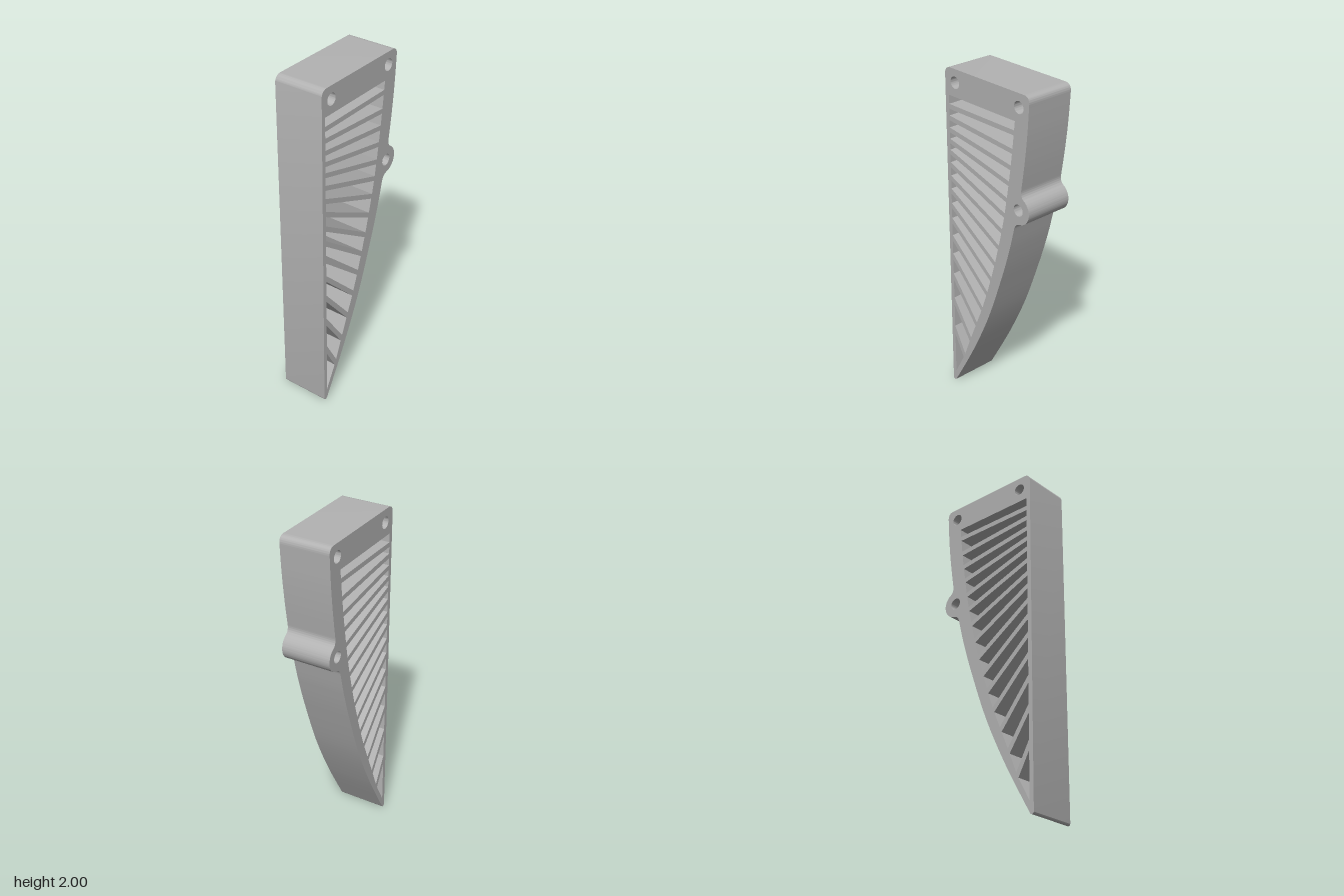
import * as THREE from 'three';
import { toCreasedNormals } from 'three/addons/utils/BufferGeometryUtils.js';

const DEPTH = 0.29;
const WALL_X = -0.297;   // inner face of the straight wall
const RIB_HALF = 0.014;  // half the rib thickness

const vec = ([x, y]) => new THREE.Vector2(x, y);

// Inner edge of the curved wall; each point but the first and last is a rib end
const inner = [
  [-0.297, 0.07], [-0.217, 0.22], [-0.16, 0.363], [-0.105, 0.495], [-0.053, 0.62],
  [-0.01, 0.74], [0.025, 0.85], [0.058, 0.96], [0.088, 1.075], [0.115, 1.185],
  [0.137, 1.288], [0.154, 1.385], [0.17, 1.485], [0.184, 1.58], [0.196, 1.675],
  [0.208, 1.78], [0.215, 1.845],
];
// Heights where the ribs meet the straight wall, bottom to top
const ribLeft = [0.365, 0.565, 0.73, 0.865, 0.985, 1.095, 1.19, 1.28, 1.36, 1.44,
  1.515, 1.58, 1.645, 1.714, 1.78];

// x of the curved wall's inner edge at height y
function innerX(y) {
  let i = 0;
  while (i < inner.length - 2 && inner[i + 1][1] < y) i++;
  const [x0, y0] = inner[i], [x1, y1] = inner[i + 1];
  return x0 + (x1 - x0) * (y - y0) / (y1 - y0);
}

// Left and right ends of one edge of a rib (side: +1 upper, -1 lower)
function ribEdge(i, side) {
  const [rx, ry] = inner[i + 1];
  const slope = (ry - ribLeft[i]) / (rx - WALL_X);
  const y0 = ribLeft[i] + side * RIB_HALF * Math.hypot(1, slope);
  let lo = WALL_X, hi = 0.3;
  for (let k = 0; k < 30; k++) {
    const x = (lo + hi) / 2;
    if (x < innerX(y0 + slope * (x - WALL_X))) lo = x; else hi = x;
  }
  return [[WALL_X, y0], [lo, y0 + slope * (lo - WALL_X)]];
}

function circle(x, y, r) {
  return new THREE.Path().absarc(x, y, r, 0, Math.PI * 2, true);
}

function bracketShape() {
  const s = new THREE.Shape();
  // Rounded tip, then the bowed outer edge
  s.moveTo(-0.323, 0.015);
  s.quadraticCurveTo(-0.323, 0, -0.31, 0);
  s.quadraticCurveTo(-0.302, 0, -0.296, 0.011);
  s.splineThru([[-0.135, 0.3], [0, 0.585], [0.112, 0.89], [0.175, 1.09], [0.211, 1.23]].map(vec));
  // Side lug with fillets
  s.quadraticCurveTo(0.219, 1.27, 0.25, 1.276);
  s.absarc(0.243, 1.357, 0.08, -1.48, 1.05, false);
  s.quadraticCurveTo(0.26, 1.442, 0.264, 1.475);
  // Upper edge and rounded top corners
  s.splineThru([[0.287, 1.63], [0.305, 1.79], [0.317, 1.957]].map(vec));
  s.quadraticCurveTo(0.319, 2, 0.277, 2);
  s.lineTo(-0.283, 2);
  s.absarc(-0.283, 1.96, 0.04, Math.PI / 2, Math.PI, false);
  s.closePath();

  // Screw holes
  s.holes.push(circle(-0.245, 1.925, 0.034), circle(0.243, 1.925, 0.034), circle(0.243, 1.357, 0.034));

  // Openings between neighbouring ribs
  const n = ribLeft.length;
  for (let i = 0; i <= n; i++) {
    const low = i > 0 ? ribEdge(i - 1, 1) : [inner[0]];
    const high = i < n ? ribEdge(i, -1) : [[WALL_X, 1.845], inner[n + 1]];
    s.holes.push(new THREE.Path([high[0], high[1], ...low.reverse()].map(vec)));
  }
  return s;
}

export function createModel() {
  const group = new THREE.Group();
  group.name = 'ribbedBracket';
  const grey = new THREE.MeshStandardMaterial({ color: 0xb2b2b2 });
  grey.name = 'grey';

  // Frame and ribs are one solid plate, cut through by the openings
  const geo = new THREE.ExtrudeGeometry(bracketShape(), {
    depth: DEPTH, bevelEnabled: false, curveSegments: 24,
  });
  geo.translate(0, 0, -DEPTH / 2);
  const frame = new THREE.Mesh(toCreasedNormals(geo, 0.5), grey);
  frame.name = 'ribbedFrame';
  group.add(frame);
  return group;
}
